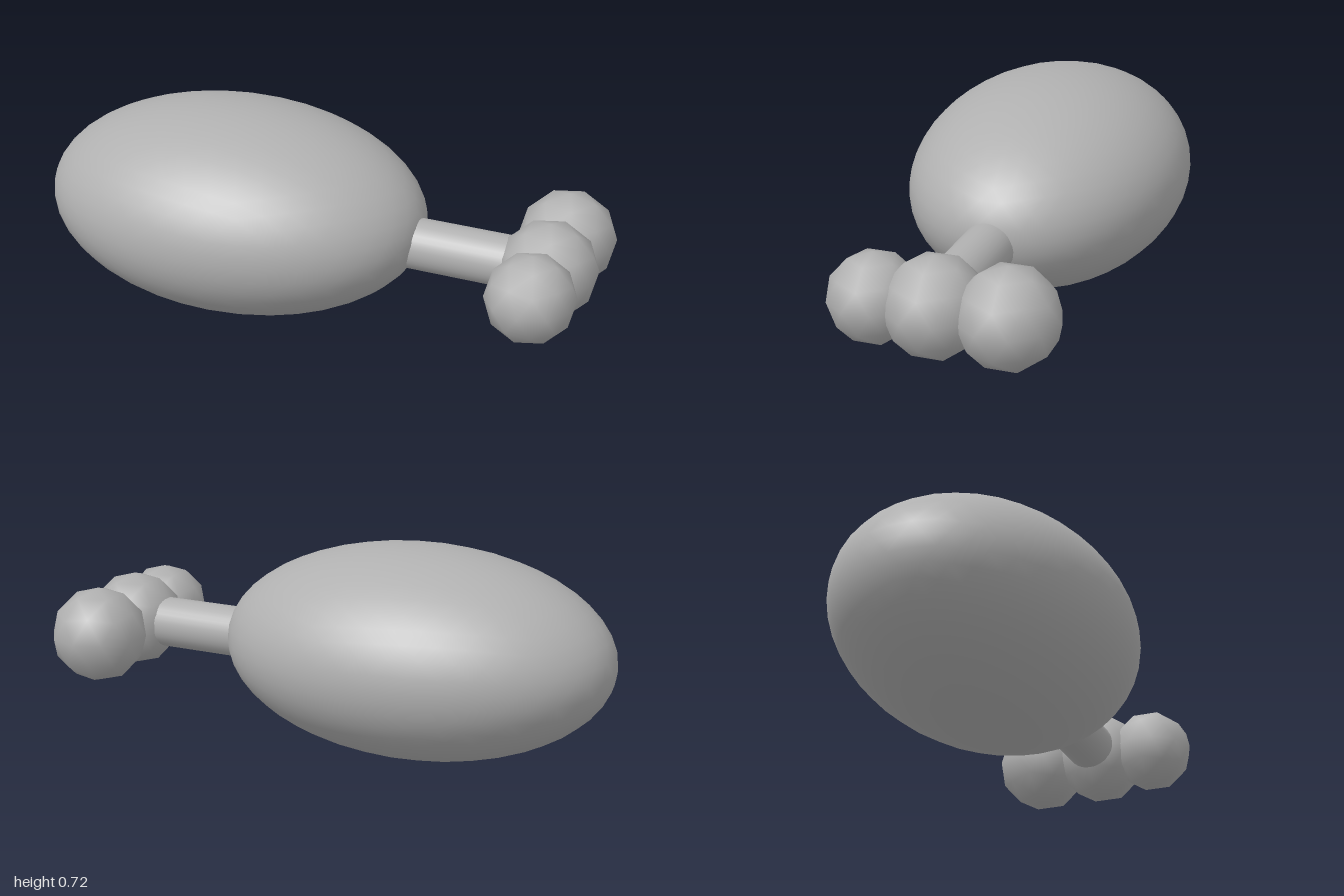
import * as THREE from 'three';

// Unit icosphere with a vertex at its top, halving every edge at each level
function icosphere(levels) {
  let geo = new THREE.IcosahedronGeometry(1, 0);
  for (let i = 0; i < levels; i++) {
    const positions = Array.from(geo.attributes.position.array);
    geo = new THREE.PolyhedronGeometry(positions, positions.map((_, k) => k).slice(0, positions.length / 3), 1, 1);
  }
  return geo.rotateZ(-Math.atan(2 / (1 + Math.sqrt(5))));
}

export function createModel() {
  const group = new THREE.Group();
  const grey = new THREE.MeshStandardMaterial({ color: 0xb0b0b0 });
  grey.name = 'grey';

  const add = (name, geometry, x, y, z) => {
    const mesh = new THREE.Mesh(geometry, grey);
    mesh.name = name;
    mesh.position.set(x, y, z);
    group.add(mesh);
  };

  // Large egg-shaped body
  add('body', icosphere(3).scale(0.695, 0.36, 0.486), -0.305, 0.361, 0);

  // Stem joining the body and the middle ball
  add('stem', new THREE.CylinderGeometry(0.09, 0.09, 0.6, 32).rotateZ(Math.PI / 2), 0.53, 0.33, 0);

  // Row of three overlapping balls across the end of the stem
  const balls = [
    ['middleBall', 0.171, 0],
    ['frontBall', 0.153, 0.204],
    ['backBall', 0.171, -0.241],
  ];
  for (const [name, radius, z] of balls) {
    add(name, icosphere(1).scale(radius, radius, radius), 0.835, 0.328, z);
  }

  return group;
}
